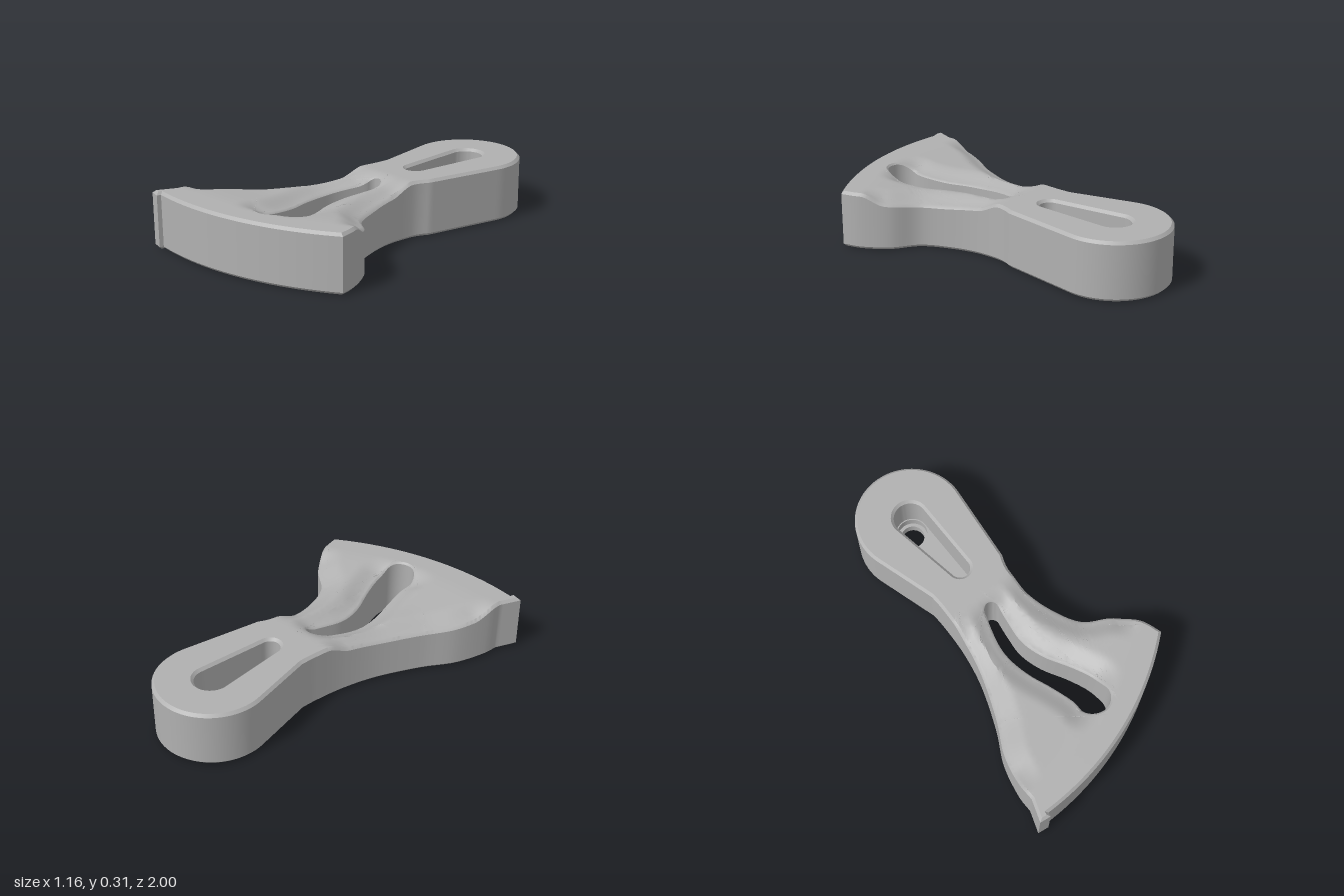
import * as THREE from 'three';
import { toCreasedNormals } from 'three/addons/utils/BufferGeometryUtils.js';

const V = (x, z) => new THREE.Vector2(x, z);
const H = 0.315, CH = 0.015, FLOOR = 0.1, BORE = 0.05;

// Plan curves, as (x, z) points
const spline = (pts, n) => new THREE.SplineCurve(pts.map(p => V(...p))).getSpacedPoints(n);
const arc = (x, z, r, a0, a1, n) => Array.from({ length: n + 1 }, (_, i) => {
  const a = a0 + (a1 - a0) * i / n;
  return V(x + r * Math.cos(a), z + r * Math.sin(a));
});

// Closed loop with even spacing; material lies to the left of its direction
function makeLoop(pieces, isHole, step = 0.025) {
  const pts = pieces.flat().filter((p, i, all) => p.distanceTo(all[(i + 1) % all.length]) > 0.001);
  const out = [];
  pts.forEach((p, i) => {
    const q = pts[(i + 1) % pts.length];
    const n = Math.max(1, Math.ceil(p.distanceTo(q) / step));
    for (let k = 0; k < n; k++) out.push(p.clone().lerp(q, k / n));
  });
  return (THREE.ShapeUtils.area(out) > 0) === isHole ? out.reverse() : out;
}

// Moves a loop into the material, with mitred corners
function inset(loop, t) {
  const n = loop.length;
  return loop.map((p, i) => {
    const a = p.clone().sub(loop[(i + n - 1) % n]).normalize();
    const b = loop[(i + 1) % n].clone().sub(p).normalize();
    const m = V(-a.y - b.y, a.x + b.x).normalize();
    const k = t / Math.max(0.5, m.dot(V(-a.y, a.x)));
    return p.clone().addScaledVector(m, k);
  });
}

function distance(loop, x, z) {
  let best = Infinity;
  for (let i = 0; i < loop.length; i++) {
    const p = loop[i], q = loop[(i + 1) % loop.length];
    const dx = q.x - p.x, dz = q.y - p.y;
    const t = THREE.MathUtils.clamp(((x - p.x) * dx + (z - p.y) * dz) / (dx * dx + dz * dz), 0, 1);
    best = Math.min(best, Math.hypot(x - p.x - t * dx, z - p.y - t * dz));
  }
  return best;
}

// Wall between two rings; ring points are [x, y, z]
function wall(out, low, high) {
  low.forEach((a, i) => {
    const j = (i + 1) % low.length;
    out.push(...a, ...high[i], ...low[j], ...low[j], ...high[i], ...high[j]);
  });
}

// Cap over a contour with holes, refined to an even mesh and lifted by y(x, z)
function cap(out, contour, holes, y, up, maxEdge = Infinity) {
  const pts = [contour, ...holes].flat();
  const stack = THREE.ShapeUtils.triangulateShape(contour, holes).map(f => f.map(i => pts[i]));
  while (stack.length) {
    const t = stack.pop();
    const len = t.map((p, i) => p.distanceTo(t[(i + 1) % 3]));
    const k = len.indexOf(Math.max(...len));
    const [a, b, c] = [t[k], t[(k + 1) % 3], t[(k + 2) % 3]];
    if (len[k] > maxEdge) {
      const m = a.clone().add(b).multiplyScalar(0.5);
      stack.push([a, m, c], [m, b, c]);
      continue;
    }
    const cross = (b.x - a.x) * (c.y - a.y) - (b.y - a.y) * (c.x - a.x);
    const order = (cross < 0) === up ? [a, b, c] : [a, c, b];
    order.forEach(p => out.push(p.x, y(p.x, p.y), p.y));
  }
}

function toMesh(name, data, material) {
  const g = new THREE.BufferGeometry();
  g.setAttribute('position', new THREE.Float32BufferAttribute(data, 3));
  const mesh = new THREE.Mesh(toCreasedNormals(g, 0.7), material);
  mesh.name = name;
  return mesh;
}

export function createModel() {
  const group = new THREE.Group();
  group.name = 'pivotArm';
  const grey = new THREE.MeshStandardMaterial({ color: 0xb0b0b0 });
  grey.name = 'grey';

  // Front edge of the fan
  const frontZ = x => -0.625 + Math.sqrt(1.61 ** 2 - (x + 0.35) ** 2);
  const front = Array.from({ length: 37 }, (_, i) => {
    const x = -0.52 + 1.1 * i / 36;
    return V(x, frontZ(x));
  });

  // Outline: round head, waisted neck, fan
  const outline = makeLoop([
    arc(0.05, -0.695, 0.305, Math.PI - 0.21, 2 * Math.PI + 0.21, 48),
    [V(0.267, -0.2)],
    spline([[0.25, -0.165], [0.232, -0.1], [0.23, 0.05], [0.265, 0.2], [0.335, 0.35], [0.465, 0.45],
      [0.55, 0.58], [0.58, 0.69]], 40),
    front.reverse(),
    [V(-0.525, 0.998), V(-0.585, 0.985)],
    spline([[-0.535, 0.87], [-0.525, 0.77], [-0.47, 0.6], [-0.367, 0.43], [-0.26, 0.2], [-0.203, 0],
      [-0.177, -0.185], [-0.172, -0.28]], 45),
  ], false);

  // Curved slot through the fan
  const slot = makeLoop([
    arc(0.018, -0.012, 0.043, Math.PI, 2 * Math.PI, 14),
    spline([[0.061, -0.012], [0.04, 0.08], [0.02, 0.21], [0.045, 0.345], [0.11, 0.49], [0.15, 0.61],
      [0.158, 0.703]], 32),
    arc(0.07, 0.703, 0.088, 0, Math.PI, 20),
    spline([[-0.018, 0.703], [-0.013, 0.635], [-0.04, 0.5], [-0.077, 0.37], [-0.092, 0.24],
      [-0.077, 0.13], [-0.025, -0.012]], 32),
  ], true);

  // Tapered pocket, counterbore and pivot hole in the head
  const pocket = makeLoop([
    arc(0.05, -0.7, 0.09, Math.PI, 2 * Math.PI, 28),
    arc(0.05, -0.3, 0.055, 0, Math.PI, 20),
  ], true);
  const bore = makeLoop([arc(0.05, -0.7, 0.084, 0, 2 * Math.PI, 36)], true);
  const pivot = makeLoop([arc(0.05, -0.7, 0.065, 0, 2 * Math.PI, 32)], true);

  // Height of the top: flat ends, a dished middle with rounded edges
  const smooth = THREE.MathUtils.smoothstep;
  const height = (x, z) => {
    const reach = Math.min(z + 0.11, frontZ(x) - 0.13 - z);
    if (reach <= 0) return H;
    const edge = Math.min(distance(outline, x, z), distance(slot, x, z));
    return H - 0.03 * smooth(reach, 0, 0.4) - 0.045 * smooth(reach, 0, 0.15) * (1 - smooth(edge, 0, 0.13));
  };

  const ring = (loop, y) => loop.map(p => [p.x, typeof y === 'number' ? y : y(p.x, p.y), p.y]);
  // Side wall with chamfers at both ends, following the top surface
  const chamferedWall = (out, loop, size) => {
    const inner = inset(loop, size);
    const top = ring(inner, height);
    const topEdge = loop.map((p, i) => [p.x, top[i][1] - size, p.y]);
    wall(out, ring(inner, 0), ring(loop, size));
    wall(out, ring(loop, size), topEdge);
    wall(out, topEdge, top);
    return inner;
  };

  // Body
  const body = [];
  const outer = chamferedWall(body, outline, CH);
  const slotRim = chamferedWall(body, slot, 0.01);
  const pocketRim = inset(pocket, 0.015);
  cap(body, outer, [slotRim, pocketRim], height, true, 0.035);
  cap(body, outer, [slotRim, pivot], () => 0, false);
  group.add(toMesh('body', body, grey));

  // Pocket and pivot hole
  const recess = [];
  wall(recess, ring(pocket, H - 0.015), ring(pocketRim, H));
  wall(recess, ring(pocket, FLOOR), ring(pocket, H - 0.015));
  cap(recess, pocket, [bore], () => FLOOR, true);
  wall(recess, ring(bore, BORE), ring(bore, FLOOR));
  cap(recess, bore, [pivot], () => BORE, true);
  wall(recess, ring(pivot, 0), ring(pivot, BORE));
  group.add(toMesh('pivotPocket', recess, grey));

  return group;
}
